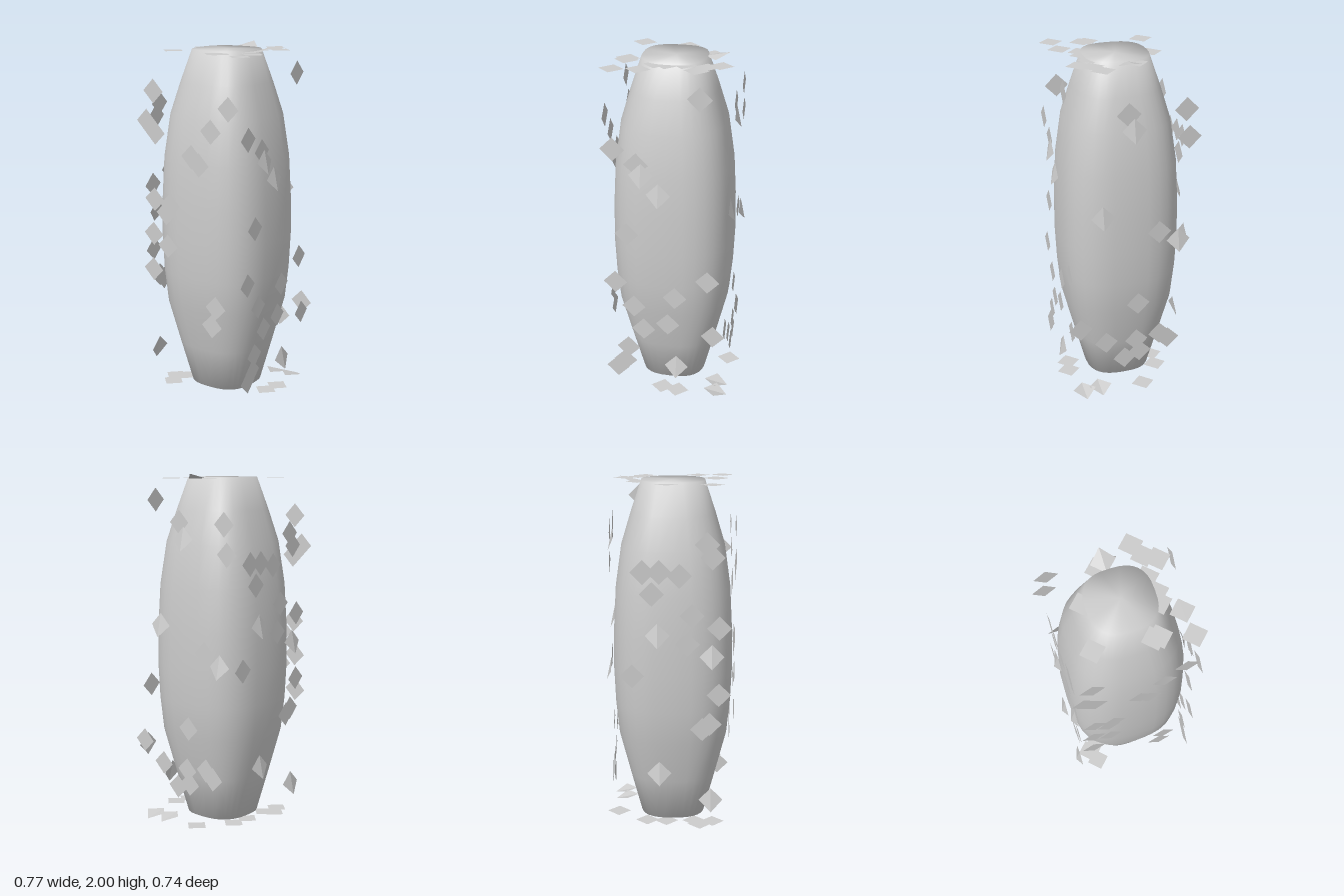
import * as THREE from 'three';

const material = new THREE.MeshStandardMaterial({ color: 0xcccccc });
const thin = new THREE.MeshStandardMaterial({ color: 0xcccccc, side: THREE.DoubleSide });

// Rounded-square barrel: stacked superellipse rings closed by flat caps
function bodyGeometry() {
  const rings = [[0.03, 0.185], [0.28, 0.25], [0.53, 0.313], [0.72, 0.332], [0.92, 0.341],
    [1.15, 0.338], [1.38, 0.326], [1.62, 0.292], [1.8, 0.238], [1.98, 0.178]];
  const n = 32, power = 2 / 2.7, pos = [], index = [];
  const curve = (v) => Math.sign(v) * Math.abs(v) ** power;
  for (const [y, r] of rings) {
    for (let i = 0; i < n; i++) {
      const a = (i / n) * Math.PI * 2;
      pos.push(-0.003 + r * curve(Math.cos(a)), y, 0.008 + r * curve(Math.sin(a)));
    }
  }
  for (let j = 0; j < rings.length - 1; j++) {
    for (let i = 0; i < n; i++) {
      const a = j * n + i, b = j * n + (i + 1) % n;
      index.push(a, a + n, b, b, a + n, b + n);
    }
  }
  const last = (rings.length - 1) * n, low = rings.length * n, high = low + 1;
  pos.push(0, 0.03, 0, 0, 1.98, 0);
  for (let i = 0; i < n; i++) {
    const k = (i + 1) % n;
    index.push(low, i, k, high, last + k, last + i);
  }
  const g = new THREE.BufferGeometry();
  g.setAttribute('position', new THREE.Float32BufferAttribute(pos, 3));
  g.setIndex(index);
  g.computeVertexNormals();
  return g;
}

// Diamond flake; a folded one has its lower corner bent outward
function flakeGeometry(fold) {
  const h = 0.068;
  const top = [0, h, 0], bottom = [0, -h, fold], left = [-h, 0, 0], right = [h, 0, 0];
  const g = new THREE.BufferGeometry();
  g.setAttribute('position', new THREE.Float32BufferAttribute(
    [top, left, bottom, top, bottom, right].flat(), 3));
  g.computeVertexNormals();
  return g;
}

// Flake centres on each side; a third value of 1 marks a folded flake
const front = [[-0.26, 1.76], [-0.31, 1.59], [-0.25, 1.53], [0.13, 1.57], [0.245, 1.7],
  [0, 1.42], [0.05, 1.38], [-0.26, 1.15], [-0.15, 1.13], [-0.18, 1.08], [-0.27, 0.95],
  [-0.17, 0.89], [-0.275, 0.74], [0.16, 0.585], [0.135, 0.475]];
const back = [[0.02, 1.74], [-0.3, 1.74], [-0.01, 1.65, 1], [-0.32, 1.58], [0.165, 1.16, 1],
  [-0.27, 0.97, 1], [-0.16, 1.03], [-0.04, 0.59], [-0.03, 0.35], [-0.05, 0.27],
  [-0.22, 0.33], [-0.17, 0.37], [0.04, 0.24], [0.3, 0.47], [0.15, 0.36]];
const plusX = [[0.29, 1.54], [0.16, 1.46], [0.135, 1.4, 1], [0.04, 1.29, 1], [0.22, 1.04],
  [0.29, 0.735], [0.185, 0.585], [-0.05, 0.66], [-0.235, 0.78], [-0.01, 0.485], [0.13, 0.44],
  [0.22, 0.31], [0.24, 0.22], [0.285, 0.17], [-0.06, 0.21, 1], [-0.27, 0.43], [-0.185, 1.85]];
const minusX = [[0.19, 1.67], [0.22, 1.6], [-0.07, 1.52], [0.04, 1.5], [-0.16, 1.52],
  [-0.11, 1.4], [0.11, 1.28], [0.26, 1.21], [-0.08, 1.17, 1], [0.085, 1.12], [0.22, 1.05, 1],
  [0.26, 0.83], [-0.22, 0.94], [0.17, 0.63], [0.21, 0.66], [-0.07, 0.37, 1], [0.22, 0.21, 1]];
const above = [[-0.02, -0.22, 1], [-0.06, -0.19], [-0.19, -0.03], [0.14, -0.265], [0.18, -0.19],
  [0.245, -0.15], [0.16, -0.07], [0.18, 0.02], [0.175, 0.08], [0.27, 0.155], [-0.215, 0.22],
  [0.09, 0.25], [0.12, 0.25], [0.285, 0.295]];
const below = [[0.31, -0.06], [0.29, 0.03], [0.27, -0.28, 1], [0.17, -0.27, 1], [-0.08, -0.31],
  [-0.22, 0.13], [-0.22, -0.03], [-0.27, 0.16], [-0.23, 0.235], [-0.21, -0.14], [0.02, 0.05, 1]];

export function createModel() {
  const group = new THREE.Group();
  const body = new THREE.Mesh(bodyGeometry(), material);
  body.name = 'body';
  group.add(body);

  const flat = flakeGeometry(0), folded = flakeGeometry(0.028);
  const q = Math.PI / 2;
  const sides = [
    ['frontFlakes', front, (u, v) => [u, v, 0.346], [0, 0, 0]],
    ['backFlakes', back, (u, v) => [u, v, -0.333], [0, 2 * q, 0]],
    ['leftFlakes', plusX, (u, v) => [0.337, v, u], [0, q, 0]],
    ['rightFlakes', minusX, (u, v) => [-0.341, v, u], [0, -q, 0]],
    ['topFlakes', above, (u, v) => [u, 1.974, v], [-q, 0, 2 * q]],
    ['bottomFlakes', below, (u, v) => [u, 0.028, v], [q, 0, 0]],
  ];
  for (const [name, spots, place, turn] of sides) {
    const set = new THREE.Group();
    set.name = name;
    for (const [u, v, bent] of spots) {
      const flake = new THREE.Mesh(bent ? folded : flat, thin);
      flake.name = 'flake';
      flake.position.set(...place(u, v));
      flake.rotation.set(...turn);
      set.add(flake);
    }
    group.add(set);
  }
  return group;
}
